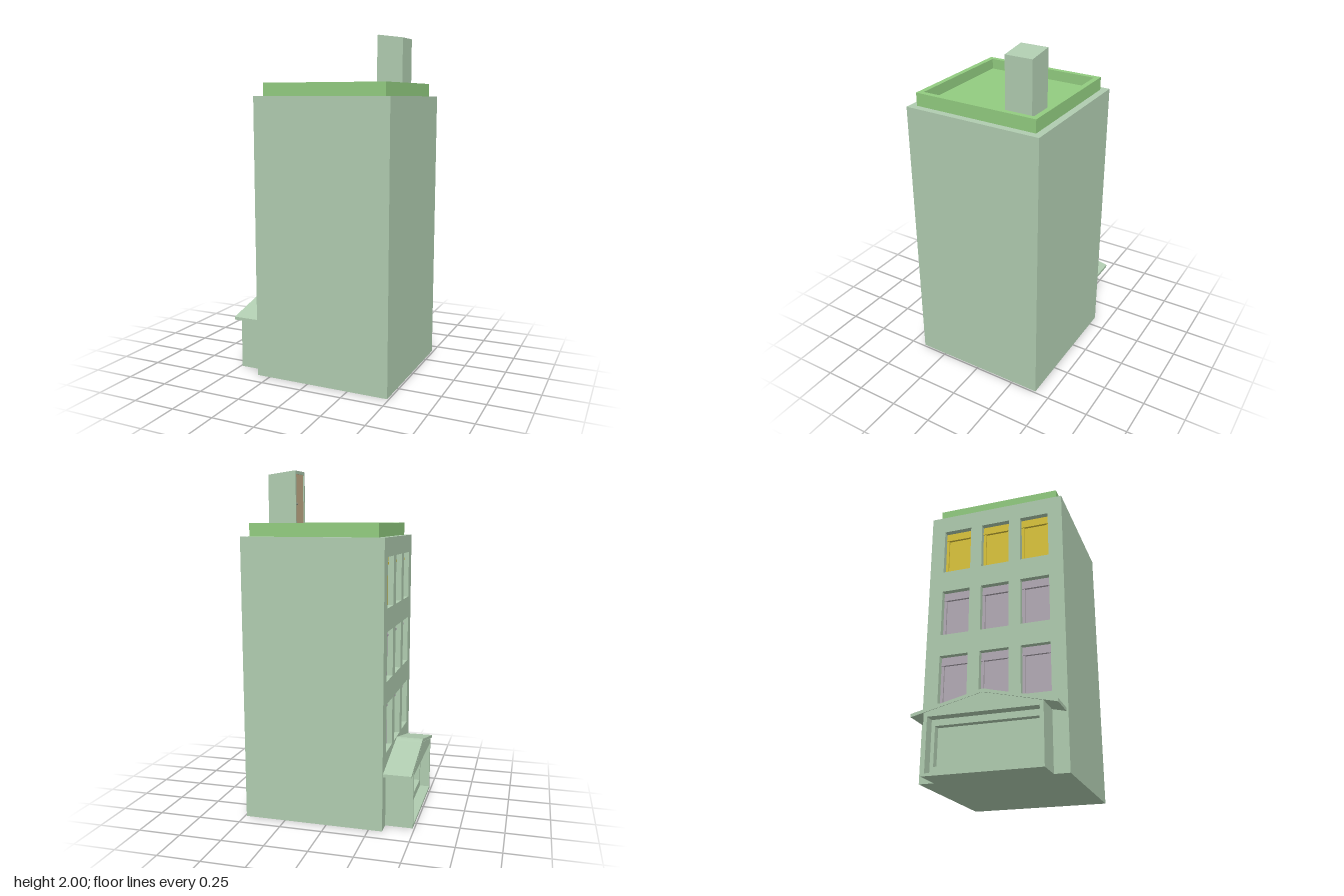
import * as THREE from 'three';

const mat = (color) => new THREE.MeshStandardMaterial({ color, flatShading: true });
const wall = mat(0xb0ccb0), green = mat(0x92cc80), lit = mat(0xdcc53c),
  dim = mat(0xb3abb5), wood = mat(0xc8b08c), metal = mat(0x8a8a7a);

function add(parent, name, geometry, material) {
  const mesh = new THREE.Mesh(geometry, material);
  mesh.name = name;
  parent.add(mesh);
  return mesh;
}

function box(parent, name, [x0, x1], [y0, y1], [z0, z1], material) {
  const g = new THREE.BoxGeometry(x1 - x0, y1 - y0, z1 - z0);
  g.translate((x0 + x1) / 2, (y0 + y1) / 2, (z0 + z1) / 2);
  return add(parent, name, g, material);
}

const poly = (pts) => pts.map(([a, b]) => new THREE.Vector2(a, b));
const rect = (a0, a1, b0, b1) => [[a0, b0], [a1, b0], [a1, b1], [a0, b1]];

function extrude(pts, holes, depth) {
  const shape = new THREE.Shape(poly(pts));
  holes.forEach((h) => shape.holes.push(new THREE.Path(poly(h))));
  return new THREE.ExtrudeGeometry(shape, { depth, bevelEnabled: false });
}

// Outline in (z, y), filling the space from xOut (facade side) to xIn
function slab(parent, name, pts, holes, xOut, xIn, material) {
  const g = extrude(pts, holes, xIn - xOut);
  g.rotateY(-Math.PI / 2).translate(xIn, 0, 0);
  return add(parent, name, g, material);
}

function addWindow(parent, z, y, material) {
  const w = new THREE.Group();
  w.name = 'window';
  const z0 = z - 0.085, z1 = z + 0.085, y1 = y + 0.28;
  box(w, 'windowPane', [-0.287, -0.283], [y, y1], [z0, z1], material);
  slab(w, 'windowFrame', rect(z0, z1, y, y1),
    [rect(z0 + 0.016, z1 - 0.016, y + 0.016, y1 - 0.05)], -0.297, -0.286, material);
  box(w, 'windowTopRail', [-0.302, -0.296], [y1 - 0.05, y1 - 0.036], [z0, z1], material);
  parent.add(w);
}

export function createModel() {
  const model = new THREE.Group();
  model.name = 'building';

  // Main block with a pierced facade on the -x side
  box(model, 'mainBlock', [-0.285, 0.49], [0, 1.64], [-0.41, 0.41], wall);
  const columns = [-0.24, 0, 0.24], rows = [0.435, 0.845, 1.255], holes = [];
  rows.forEach((y, i) => columns.forEach((z) => {
    holes.push(rect(z - 0.085, z + 0.085, y, y + 0.28));
    addWindow(model, z, y, i === 2 ? lit : dim);
  }));
  slab(model, 'facade', rect(-0.41, 0.41, 0, 1.64), holes, -0.33, -0.285, wall);

  // Roof terrace: floor and parapet
  box(model, 'roofFloor', [-0.27, 0.43], [1.63, 1.655], [-0.35, 0.35], green);
  const parapet = extrude(rect(-0.29, 0.45, -0.37, 0.37), [rect(-0.26, 0.42, -0.34, 0.34)], 0.075);
  parapet.rotateX(-Math.PI / 2).translate(0, 1.64, 0);
  add(model, 'parapet', parapet, green);

  // Roof access hut with a sloping top and a recessed door
  const hut = new THREE.Group();
  hut.name = 'roofHut';
  const hutBody = extrude([[0.21, 1.65], [0.36, 1.65], [0.36, 1.98], [0.21, 2]], [], 0.16);
  hutBody.translate(0, 0, -0.295);
  add(hut, 'hutBody', hutBody, wall);
  slab(hut, 'doorFrame', rect(-0.295, -0.135, 1.65, 2),
    [rect(-0.283, -0.147, 1.66, 1.983)], 0.2, 0.21, wall);
  box(hut, 'door', [0.206, 0.212], [1.66, 1.983], [-0.283, -0.147], wood);
  const knob = new THREE.SphereGeometry(0.007, 8, 6);
  knob.translate(0.202, 1.82, -0.268);
  add(hut, 'doorKnob', knob, metal);
  model.add(hut);

  // Shopfront: gabled body, stepped opening, back panel
  const shop = new THREE.Group();
  shop.name = 'shopfront';
  const gable = [[-0.325, 0], [0.325, 0], [0.325, 0.333], [0.04, 0.402],
    [0, 0.411], [-0.04, 0.402], [-0.325, 0.333]];
  slab(shop, 'shopBack', gable, [], -0.39, -0.33, wall);
  slab(shop, 'shopInnerFrame', gable, [rect(-0.285, 0.285, 0.06, 0.275)], -0.43, -0.39, wall);
  slab(shop, 'shopOuterFrame', gable, [rect(-0.305, 0.305, 0.015, 0.31)], -0.49, -0.43, wall);

  // Canopy: thin gabled sheet with a softened ridge
  const top = [[-0.4, 0.335], [-0.04, 0.421], [-0.02, 0.427], [0, 0.43],
    [0.02, 0.427], [0.04, 0.421], [0.4, 0.335]];
  const under = top.map(([z, y]) => [z, y - 0.018]).reverse();
  slab(shop, 'canopy', [...top, ...under], [], -0.49, -0.33, wall);
  model.add(shop);

  return model;
}
